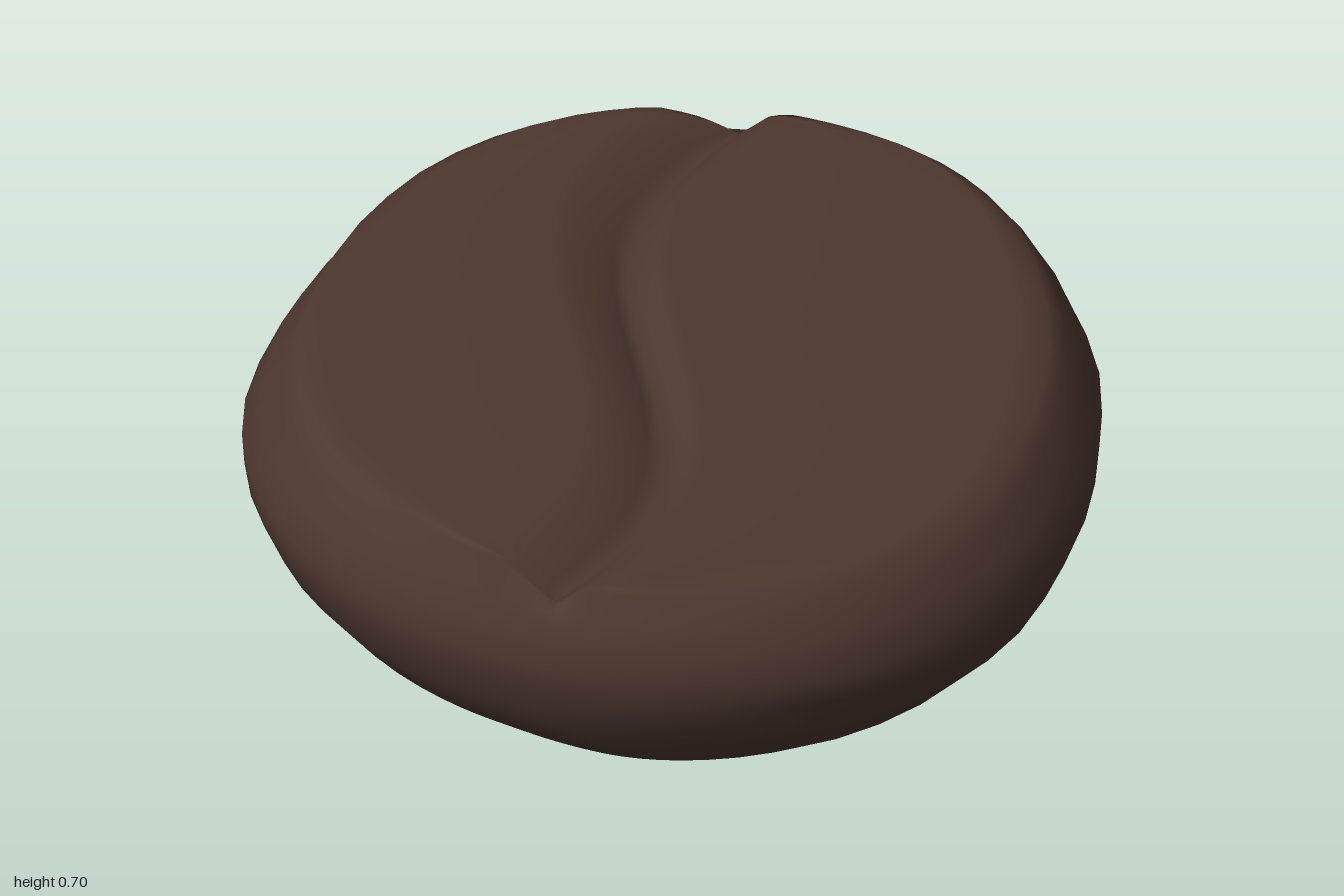
import * as THREE from 'three';
import { mergeVertices } from 'three/addons/utils/BufferGeometryUtils.js';

// Plan outline (x, z), clockwise from the back end of the crease; the front end is halfway round
const OUTLINE = [
  [-0.13, -0.99], [0.05, -1], [0.32, -0.96], [0.48, -0.88], [0.61, -0.77], [0.72, -0.62], [0.82, -0.42], [0.88, -0.2],
  [0.91, 0], [0.91, 0.25], [0.87, 0.44], [0.78, 0.63], [0.65, 0.79], [0.49, 0.9], [0.31, 0.97], [0.15, 0.995],
  [0, 0.985], [-0.2, 0.94], [-0.35, 0.88], [-0.5, 0.79], [-0.64, 0.67], [-0.75, 0.54], [-0.84, 0.38], [-0.9, 0.2],
  [-0.92, 0], [-0.91, -0.22], [-0.87, -0.4], [-0.8, -0.57], [-0.69, -0.72], [-0.56, -0.83], [-0.4, -0.91], [-0.25, -0.965],
];
// Shell rings: height, x scale, z scale (the last one is the rim, whose height follows the top face)
const RINGS = [
  [0, 0, 0], [0.008, 0.18, 0.2], [0.02, 0.36, 0.4], [0.07, 0.55, 0.6], [0.14, 0.72, 0.76], [0.23, 0.86, 0.88],
  [0.31, 0.945, 0.94], [0.41, 0.995, 0.985], [0.485, 1, 1], [0.56, 0.955, 0.99], [0.615, 0.91, 0.97], [0, 0.868, 0.94],
];
const N = 40; // rows from back to front

const creaseX = (z) => -0.065 + 0.16 * Math.sin((Math.PI * z) / 1.06);

// Depth of the crease across its width: broad slope on the left, steep on the right
const PROFILE = [[-0.18, 0], [-0.13, 0.008], [-0.07, 0.035], [0, 0.075], [0.06, 0.012], [0.1, 0]];
function creaseDepth(d) {
  for (let i = 1; i < PROFILE.length; i++) {
    const [d0, h0] = PROFILE[i - 1], [d1, h1] = PROFILE[i];
    if (d >= d0 && d <= d1) return h0 + ((h1 - h0) * (d - d0)) / (d1 - d0);
  }
  return 0;
}
function topY(x, z) {
  const d = x - creaseX(z);
  const blend = THREE.MathUtils.smoothstep(d, -0.02, 0.06);
  return THREE.MathUtils.lerp(0.699, 0.685 - 0.025 * Math.max(0, x), blend) - creaseDepth(d);
}

function buildGeometry() {
  const curve = new THREE.CatmullRomCurve3(OUTLINE.map(([x, z]) => new THREE.Vector3(x, 0, z)), true);
  // Samples crowd towards the two crease ends
  const outline = [];
  for (let j = 0; j < 2 * N; j++) {
    const s = (j % N) / N;
    const t = s - (0.8 * Math.sin(2 * Math.PI * s)) / (2 * Math.PI);
    outline.push(curve.getPoint((t + (j < N ? 0 : 1)) / 2));
  }
  const pos = [], idx = [];

  // Rounded shell
  const M = 2 * N, rim = [];
  RINGS.forEach(([y, sx, sz], r) => outline.forEach((p, j) => {
    const v = new THREE.Vector3(p.x * sx, y, p.z * sz);
    if (r === RINGS.length - 1) {
      v.y = topY(v.x, v.z) - 0.012;
      rim.push(v);
    }
    pos.push(v.x, v.y, v.z);
    if (r > 0) {
      const k = (j + 1) % M, a = (r - 1) * M + j, b = (r - 1) * M + k, c = r * M + k, d = r * M + j;
      idx.push(a, c, b, a, d, c);
    }
  }));

  // Top face: rows run from the left rim over the crease to the right rim
  const base = pos.length / 3;
  const leftCols = [[9, 1], [9, 0.92], [9, 0.7], [0.18, 0.5], [0.13, 0.38], [0.07, 0.25], [0.035, 0.12]];
  const rightCols = [[0.03, 0.12], [0.06, 0.25], [0.1, 0.38], [9, 0.6], [9, 0.92], [9, 1]];
  const C = leftCols.length + rightCols.length + 1;
  for (let i = 0; i <= N; i++) {
    const R = rim[i], L = rim[(M - i) % M], width = R.x - L.x;
    const zAt = (x) => (width < 1e-6 ? R.z : L.z + ((R.z - L.z) * (x - L.x)) / width);
    let g = (L.x + R.x) / 2;
    for (let n = 0; n < 4; n++) g = THREE.MathUtils.clamp(creaseX(zAt(g)), L.x, R.x);
    const xs = [
      ...leftCols.map(([d, f]) => g - Math.min(d, f * (g - L.x))), g,
      ...rightCols.map(([d, f]) => g + Math.min(d, f * (R.x - g))),
    ];
    xs.forEach((x, c) => {
      const z = zAt(x);
      const onRim = c === 0 || c === C - 1 || width < 1e-6;
      const y = c === 0 ? L.y : onRim ? R.y : topY(x, z);
      pos.push(x, y, z);
      if (i < N && c < C - 1) {
        const a = base + i * C + c;
        idx.push(a, a + C, a + C + 1, a, a + C + 1, a + 1);
      }
    });
  }

  let geo = new THREE.BufferGeometry();
  geo.setAttribute('position', new THREE.Float32BufferAttribute(pos, 3));
  geo.setIndex(idx);
  geo = mergeVertices(geo, 1e-4);
  geo.computeVertexNormals();
  return geo;
}

export function createModel() {
  const group = new THREE.Group();
  group.name = 'coffeeBean';
  const roast = new THREE.MeshStandardMaterial({ color: 0x4e382f });
  roast.name = 'dark roast brown';
  const bean = new THREE.Mesh(buildGeometry(), roast);
  bean.name = 'bean';
  group.add(bean);
  return group;
}
